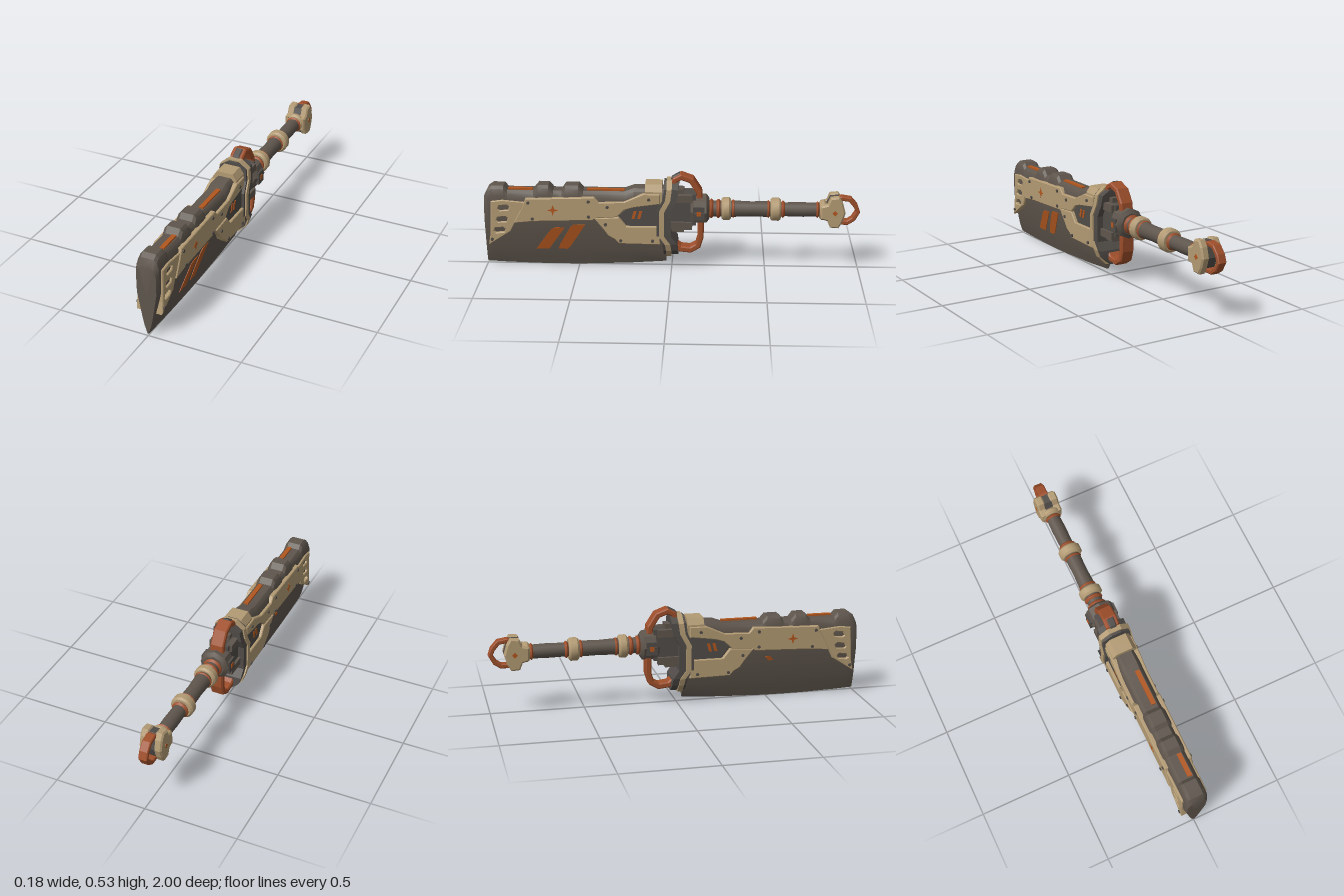
import * as THREE from 'three';
import { toCreasedNormals } from 'three/addons/utils/BufferGeometryUtils.js';

const mat = (name, color) => Object.assign(new THREE.MeshStandardMaterial({ color }), { name });

export function createModel() {
  const root = new THREE.Group();
  root.name = 'cleaverSword';
  const steel = mat('dark steel', 0x5f564d);
  const gun = mat('gunmetal', 0x514c48);
  const tan = mat('tan armour', 0xb39b74);
  const paint = mat('orange paint', 0xb2571f);
  const rust = mat('rust orange', 0x9e4f2b);
  const AXIS = 0.33; // height of the handle axis

  function add(name, geo, material) {
    const m = new THREE.Mesh(geo, material);
    m.name = name;
    root.add(m);
    return m;
  }

  // Skin closed rings of [x, y, z] points, cap both ends, and face everything outward
  function loft(rings, crease = 0.5) {
    const tris = [], n = rings[0].length;
    for (let i = 0; i + 1 < rings.length; i++)
      for (let j = 0; j < n; j++) {
        const k = (j + 1) % n, a = rings[i][j], b = rings[i][k], c = rings[i + 1][k], d = rings[i + 1][j];
        tris.push([a, b, c], [a, c, d]);
      }
    const mid = r => [0, 1, 2].map(q => r.reduce((s, p) => s + p[q], 0) / n);
    const first = rings[0], last = rings[rings.length - 1];
    const c0 = mid(first), c1 = mid(last);
    for (let j = 0; j < n; j++) {
      const k = (j + 1) % n;
      tris.push([c0, first[k], first[j]], [c1, last[j], last[k]]);
    }
    const V = p => new THREE.Vector3(...p);
    const volume = tris.reduce((s, [a, b, c]) => s + V(a).dot(V(b).cross(V(c))), 0);
    if (volume < 0) tris.forEach(t => t.reverse());
    const g = new THREE.BufferGeometry();
    g.setAttribute('position', new THREE.Float32BufferAttribute(tris.flat(2), 3));
    g.computeVertexNormals();
    return toCreasedNormals(g, crease);
  }

  // Flat plate drawn in (z, y), filling x0..x1 on one side
  function plate(name, pts, x0, x1, side, material, holes = [], bevel = 0.004) {
    const toV = list => list.map(p => new THREE.Vector2(...p));
    const s = new THREE.Shape(toV(pts));
    s.holes = holes.map(h => new THREE.Path(toV(h)));
    const depth = x1 - x0 - bevel;
    const g = new THREE.ExtrudeGeometry(s, {
      depth, bevelEnabled: bevel > 0, bevelThickness: bevel, bevelSize: bevel, bevelOffset: -bevel, bevelSegments: 1,
    });
    g.rotateY(-Math.PI / 2).translate(side > 0 ? x0 + depth : -x0, 0, 0);
    return add(name, g, material);
  }

  function box(name, w, h, d, x, y, z, material) {
    return add(name, new THREE.BoxGeometry(w, h, d).translate(x, y, z), material);
  }

  // Turned part on the handle axis from [radius, z] points, z rising
  function turned(name, pts, material, sides = 16) {
    const g = new THREE.LatheGeometry(pts.map(p => new THREE.Vector2(...p)), sides);
    g.rotateX(Math.PI / 2).translate(0, AXIS, 0);
    return add(name, toCreasedNormals(g, 0.6), material);
  }

  // Chamfered bar along a (z, y) path
  function bar(name, path, w, t, material) {
    const c = Math.min(w, t) * 0.4;
    const sec = [[-w, -t + c], [-w, t - c], [-w + c, t], [w - c, t], [w, t - c], [w, -t + c], [w - c, -t], [-w + c, -t]];
    const rings = path.map(([z, y], i) => {
      const a = path[Math.max(i - 1, 0)], b = path[Math.min(i + 1, path.length - 1)];
      const dz = b[0] - a[0], dy = b[1] - a[1], l = Math.hypot(dz, dy);
      return sec.map(([x, n]) => [x, y + n * dz / l, z - n * dy / l]);
    });
    return add(name, loft(rings, 0.3), material);
  }

  // Blade: wedge section, with humps along the spine
  const spine = [[0.03, 0.45], [0.2, 0.45], [0.25, 0.432], [0.47, 0.432], [0.495, 0.46], [0.565, 0.46], [0.585, 0.432],
    [0.63, 0.432], [0.655, 0.462], [0.71, 0.462], [0.735, 0.432], [0.875, 0.432], [0.895, 0.455], [0.955, 0.457],
    [0.98, 0.44], [1.0, 0.40]];
  add('blade', loft(spine.map(([z, top]) => {
    const k = z > 0.99 ? 0.88 : 1;
    const edge = 0.004 + 0.022 * Math.pow(Math.abs(z - 0.6) / 0.55, 2);
    const half = [[0.004, edge], [0.02, 0.06], [0.03, 0.1], [0.06, 0.25], [0.061, top - 0.05], [0.05, top - 0.015], [0.035, top]];
    return [...half.map(([x, y]) => [x * k, y, z]), ...half.reverse().map(([x, y]) => [-x * k, y, z])];
  })), steel);

  // Orange inlays in the spine
  for (const [z, d] of [[0.35, 0.2], [0.805, 0.13]]) box('spineInlay', 0.024, 0.014, d, 0.018, 0.434, z, paint);

  // Painted slashes lying on the sloping blade face
  const slashes = [[[0.73, 0.1], [0.645, 0.22], [0.62, 0.232], [0.57, 0.232], [0.64, 0.13], [0.66, 0.1]],
    [[0.61, 0.1], [0.6, 0.13], [0.54, 0.235], [0.52, 0.25], [0.46, 0.25], [0.545, 0.115], [0.56, 0.1]]];
  const lean = (m, side) => {
    const p = m.geometry.attributes.position;
    for (let i = 0; i < p.count; i++) p.setX(i, p.getX(i) + side * (0.03 + 0.2 * (p.getY(i) - 0.1)));
    m.geometry.computeVertexNormals();
  };
  for (const s of slashes) lean(plate('bladeSlash', s, -0.002, 0.003, 1, paint, [], 0), 1);
  lean(plate('bladeMark', [[0.53, 0.215], [0.51, 0.24], [0.48, 0.24], [0.5, 0.215]], -0.002, 0.003, -1, paint, [], 0), -1);

  // Armour on both faces of the blade
  const slot = (z, y) => [[z + 0.03, y - 0.008], [z + 0.022, y + 0.012], [z - 0.02, y + 0.016], [z - 0.032, y + 0.006],
    [z - 0.025, y - 0.012], [z + 0.02, y - 0.016]];
  const star = [];
  for (let i = 0; i < 8; i++) {
    const r = i % 2 ? 0.01 : 0.03, a = i * Math.PI / 4;
    star.push([0.63 + r * Math.cos(a), 0.335 + r * Math.sin(a)]);
  }
  for (const side of [1, -1]) {
    plate('ventPlate', [[0.96, 0.378], [0.9, 0.386], [0.78, 0.375], [0.83, 0.27], [0.86, 0.21], [0.98, 0.133], [0.968, 0.2]],
      0.035, 0.071, side, tan, [slot(0.895, 0.343), slot(0.905, 0.278), slot(0.92, 0.217)]);
    plate('upperPlate', [[0.79, 0.36], [0.775, 0.397], [0.41, 0.408], [0.385, 0.38], [0.25, 0.385], [0.15, 0.43], [0.06, 0.43],
      [0.06, 0.375], [0.2, 0.355], [0.25, 0.34], [0.29, 0.3], [0.4, 0.292], [0.42, 0.28], [0.74, 0.27], [0.84, 0.26]],
      0.05, 0.077, side, tan);
    plate('lowerPlate', [[0.41, 0.292], [0.28, 0.3], [0.24, 0.25], [0.06, 0.25], [0.06, 0.148], [0.28, 0.152], [0.3, 0.175],
      [0.335, 0.195], [0.36, 0.23]], 0.032, 0.082, side, tan);
    plate('recessPanel', [[0.28, 0.31], [0.24, 0.35], [0.06, 0.38], [0.06, 0.24], [0.23, 0.24]], 0.04, 0.068, side, gun);
    for (const z of [0.17, 0.2]) plate('recessMark', [[z + 0.012, 0.29], [z, 0.335], [z - 0.016, 0.335], [z - 0.004, 0.29]],
      0.068, 0.071, side, paint, [], 0);
    plate('starMark', star, 0.076, 0.079, side, paint, [], 0);
    // Bolts
    for (const [z, y, x] of [[0.76, 0.375, 0.077], [0.74, 0.285, 0.077], [0.44, 0.385, 0.077], [0.44, 0.3, 0.077],
      [0.34, 0.355, 0.077], [0.12, 0.4, 0.077], [0.35, 0.26, 0.082], [0.1, 0.17, 0.082], [0.27, 0.17, 0.082], [0.96, 0.165, 0.071]])
      add('bolt', new THREE.CylinderGeometry(0.009, 0.009, 0.012, 6).rotateZ(Math.PI / 2).translate(side * x, y, z).toNonIndexed(), gun);
  }

  // Tan saddle over the rear of the spine
  const saddle = new THREE.Shape([[-0.068, 0.37], [0.068, 0.37], [0.068, 0.44], [0.045, 0.475], [-0.045, 0.475], [-0.068, 0.44]]
    .map(p => new THREE.Vector2(...p)));
  add('spineSaddle', new THREE.ExtrudeGeometry(saddle, { depth: 0.09, bevelEnabled: false }).translate(0, 0, 0.05), tan);

  // Guard: levels of [y, half width, z centre]; the band jogs forward in the middle
  const levels = [[0.065, 0.03, 0.015], [0.11, 0.074, 0.015], [0.15, 0.088, 0.02], [0.195, 0.09, 0.052], [0.335, 0.092, 0.052],
    [0.395, 0.09, 0.02], [0.455, 0.083, 0.012], [0.495, 0.035, 0.012]];
  const guard = (inset, back, front) => loft(levels.map(([y, w, z], i) => {
    const h = y + (i === 0 ? inset : i === 7 ? -inset : 0), x = w - inset;
    return [[-x, h, z - back], [x, h, z - back], [x, h, z + front], [-x, h, z + front]];
  }), 0.2);
  add('guardBand', guard(0, 0.014, 0.014), tan);
  add('guardCore', guard(0.008, 0.05, 0.028), gun);

  // Hub behind the guard
  box('hubBlock', 0.1, 0.17, 0.15, 0, 0.335, -0.055, gun);
  box('hubSpine', 0.06, 0.24, 0.07, 0, 0.325, -0.03, steel);
  turned('hubCollar', [[0, -0.2], [0.06, -0.2], [0.082, -0.185], [0.082, -0.12], [0.065, -0.1], [0, -0.1]], steel, 8);
  for (const side of [1, -1]) {
    box('hubLug', 0.03, 0.07, 0.06, side * 0.066, 0.325, -0.145, gun);
    box('hubLugMark', 0.004, 0.026, 0.022, side * 0.082, 0.325, -0.145, paint);
    for (const y of [0.25, 0.4]) box('hubRib', 0.03, 0.04, 0.12, side * 0.05, y, -0.05, steel);
  }

  // Guard loops above and below
  bar('upperLoop', [[0, 0.455], [-0.018, 0.495], [-0.05, 0.513], [-0.105, 0.493], [-0.145, 0.43], [-0.15, 0.38]], 0.037, 0.016, rust);
  bar('lowerLoop', [[-0.01, 0.135], [-0.045, 0.108], [-0.1, 0.102], [-0.14, 0.125], [-0.155, 0.175], [-0.155, 0.26]], 0.037, 0.016, rust);
  bar('loopInsert', [[0.004, 0.46], [-0.014, 0.499], [-0.048, 0.517]], 0.02, 0.015, gun);

  // Handle grip, with collars
  turned('grip', [[0, -0.8], [0.036, -0.8], [0.039, -0.7], [0.037, -0.6], [0.042, -0.5], [0.04, -0.42], [0.044, -0.33],
    [0.042, -0.18], [0, -0.18]], steel);
  const collar = (name, z0, z1, r, m) => turned(name, [[0.03, z0], [r - 0.01, z0], [r, z0 + 0.01], [r, z1 - 0.01], [r - 0.01, z1], [0.03, z1]], m);
  collar('frontCollar', -0.315, -0.265, 0.062, tan);
  collar('middleCollar', -0.58, -0.525, 0.062, tan);
  collar('rearCollar', -0.82, -0.785, 0.054, tan);
  for (const [z0, z1, r] of [[-0.262, -0.235, 0.05], [-0.222, -0.198, 0.052], [-0.34, -0.315, 0.048], [-0.525, -0.503, 0.047],
    [-0.603, -0.58, 0.046], [-0.785, -0.765, 0.045]]) collar('gripRing', z0, z1, r, rust);

  // Pommel with tan cheeks and an end loop
  const pommel = [[-0.79, 0.365], [-0.825, 0.375], [-0.84, 0.413], [-0.885, 0.418], [-0.905, 0.385], [-0.92, 0.33],
    [-0.905, 0.28], [-0.885, 0.245], [-0.84, 0.248], [-0.825, 0.285], [-0.79, 0.295]];
  plate('pommelCore', pommel.map(([z, y]) => [z, AXIS + (y - AXIS) * 0.92]), -0.042, 0.042, 1, gun);
  for (const side of [1, -1]) {
    plate('pommelCheek', pommel, 0.024, 0.06, side, tan, [], 0.008);
    plate('pommelMark', [[-0.85, 0.33], [-0.865, 0.345], [-0.88, 0.33], [-0.865, 0.315]], 0.058, 0.062, side, paint, [], 0);
  }
  bar('pommelLoop', [[-0.86, 0.385], [-0.9, 0.4], [-0.945, 0.393], [-0.975, 0.358], [-0.988, 0.325], [-0.965, 0.285],
    [-0.935, 0.265], [-0.87, 0.265]], 0.024, 0.012, rust);
  return root;
}
